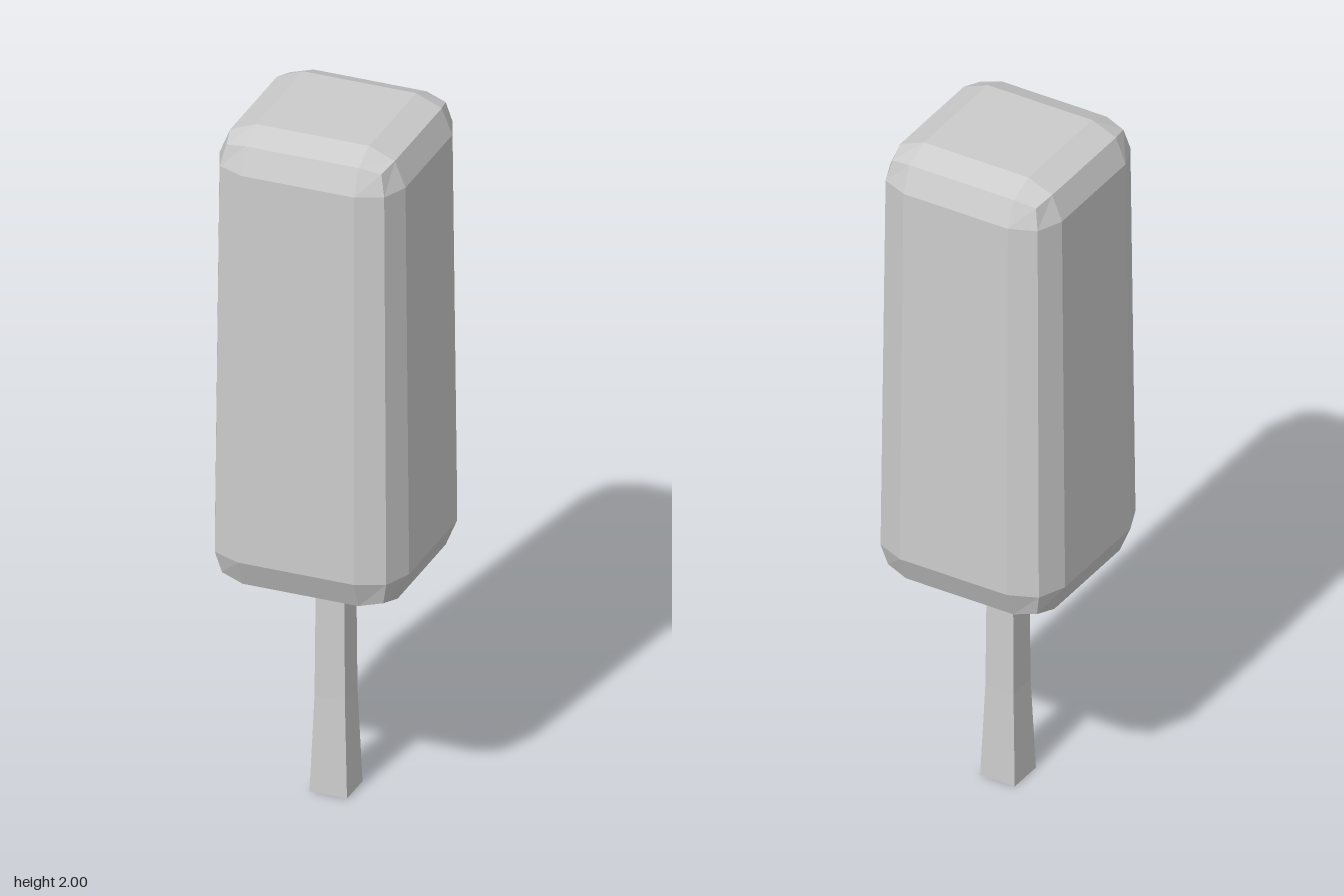
import * as THREE from 'three';

const material = new THREE.MeshStandardMaterial({ color: 0xcccccc, flatShading: true });

// Block with two-facet bevels, slightly wider at the bottom than at the top
function crownGeometry() {
  const top = { y: 1.9, core: 0.16, r: 0.103 };
  const bottom = { y: 0.762, core: 0.164, r: 0.111 };
  const geo = new THREE.BoxGeometry(2, 2, 2, 3, 3, 3);
  const pos = geo.attributes.position;
  const p = new THREE.Vector3();
  const dir = new THREE.Vector3();
  const outward = (v) => (Math.abs(v) > 0.9 ? Math.sign(v) : 0);
  for (let i = 0; i < pos.count; i++) {
    p.fromBufferAttribute(pos, i);
    const end = p.y > 0 ? top : bottom;
    dir.set(outward(p.x), outward(p.y), outward(p.z)).normalize().multiplyScalar(end.r);
    pos.setXYZ(i, Math.sign(p.x) * end.core + dir.x, end.y + dir.y, Math.sign(p.z) * end.core + dir.z);
  }
  geo.computeVertexNormals();
  return geo;
}

// Square post that flares toward the ground
function trunkGeometry() {
  const halfWidths = [0.053, 0.043, 0.04]; // foot, knee, top
  const heights = [0, 0.28, 0.7];
  const geo = new THREE.BoxGeometry(2, 2, 2, 1, 2, 1);
  const pos = geo.attributes.position;
  for (let i = 0; i < pos.count; i++) {
    const level = Math.round(pos.getY(i)) + 1;
    const w = halfWidths[level];
    pos.setXYZ(i, pos.getX(i) * w, heights[level], pos.getZ(i) * w);
  }
  geo.computeVertexNormals();
  return geo;
}

export function createModel() {
  const model = new THREE.Group();
  model.name = 'tree';
  const parts = { crown: crownGeometry(), trunk: trunkGeometry() };
  for (const [name, geometry] of Object.entries(parts)) {
    const mesh = new THREE.Mesh(geometry, material);
    mesh.name = name;
    model.add(mesh);
  }
  return model;
}
